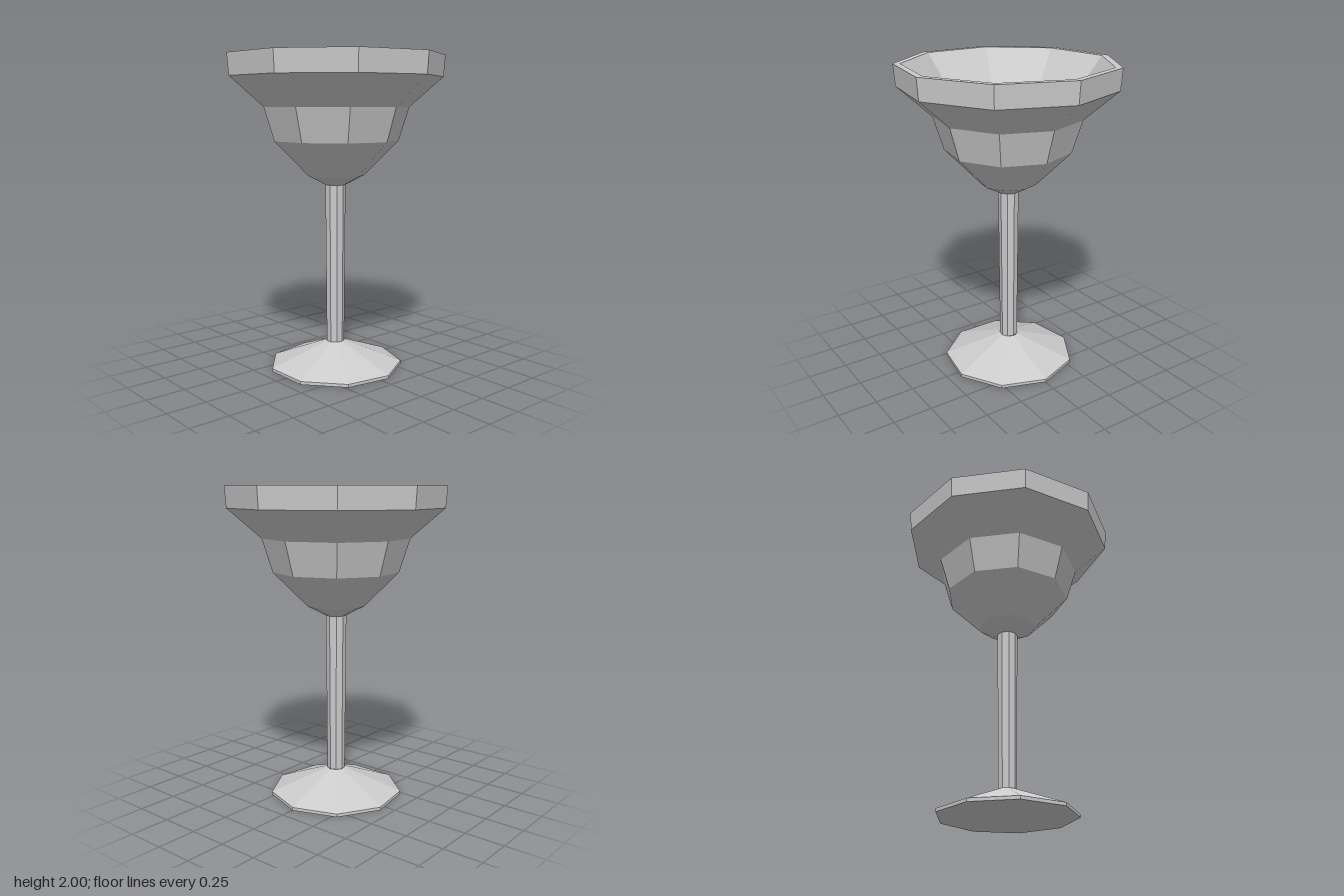
import * as THREE from 'three';

const SIDES = 9;

// Faceted turned part: profile of [radius, y], corner pointing to the back
function turned(name, profile, material) {
  const points = profile.map(([r, y]) => new THREE.Vector2(r, y));
  const mesh = new THREE.Mesh(new THREE.LatheGeometry(points, SIDES, Math.PI), material);
  mesh.name = name;
  return mesh;
}

export function createModel() {
  const glass = new THREE.Group();
  glass.name = 'goblet';
  const material = new THREE.MeshStandardMaterial({ color: 0xcccccc, flatShading: true });

  // Flat underside, thin edge, sloping top
  const foot = turned('foot', [[0, 0], [0.43, 0], [0.43, 0.02], [0.058, 0.165]], material);

  // Slightly widening stem
  const stem = turned('stem', [[0.058, 0.165], [0.066, 1.19]], material);

  // Stepped outside, rim, then sloping inside down to the flat inner floor
  const bowl = turned('bowl', [
    [0.066, 1.19], [0.182, 1.25], [0.4, 1.47], [0.465, 1.68], [0.676, 1.865],
    [0.686, 2], [0.642, 2], [0.405, 1.7], [0, 1.7],
  ], material);

  // An odd-sided ring is centred by its bounds, so its axis sits forward of the origin
  foot.position.set(-0.004, 0, 0.018);
  stem.position.set(-0.003, 0, 0.02);
  bowl.position.set(-0.002, 0, 0.018);
  glass.add(foot, stem, bowl);
  return glass;
}
